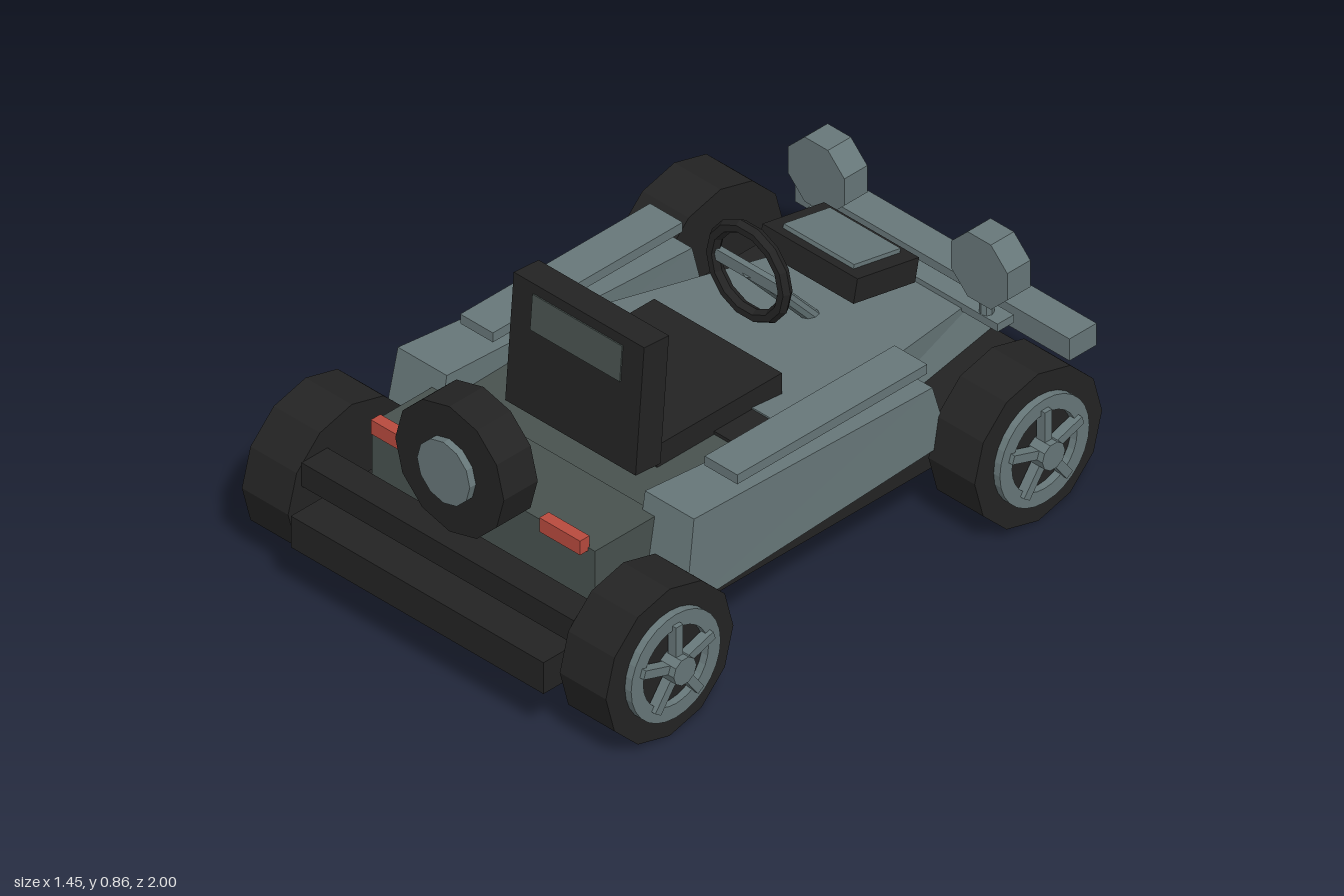
import * as THREE from 'three';

const mat = (name, color) => {
  const m = new THREE.MeshStandardMaterial({ color, flatShading: true });
  m.name = name;
  return m;
};

export function createModel() {
  const body = mat('blue grey paint', 0x677779);
  const deckGrey = mat('dark green grey', 0x48524f);
  const black = mat('black', 0x232323);
  const red = mat('lamp red', 0xb84a3e);
  const model = new THREE.Group();

  const add = (name, geo, material, x = 0, y = 0, z = 0, parent = model) => {
    const m = new THREE.Mesh(geo, material);
    m.name = name;
    m.position.set(x, y, z);
    parent.add(m);
    return m;
  };
  // Box given by its limits on each axis
  const box = (name, material, x0, x1, y0, y1, z0, z1, parent = model) =>
    add(name, new THREE.BoxGeometry(x1 - x0, y1 - y0, z1 - z0), material,
      (x0 + x1) / 2, (y0 + y1) / 2, (z0 + z1) / 2, parent);
  // Box whose corners are moved by a rule: (x sign, y sign, z sign) -> [x, y, z]
  const shaped = (name, material, rule) => {
    const geo = new THREE.BoxGeometry(2, 2, 2);
    const p = geo.attributes.position;
    for (let i = 0; i < p.count; i++) p.setXYZ(i, ...rule(p.getX(i), p.getY(i), p.getZ(i)));
    geo.computeVertexNormals();
    return add(name, geo, material);
  };
  const cylX = (r, len, sides) => new THREE.CylinderGeometry(r, r, len, sides).rotateZ(-Math.PI / 2);
  const cylZ = (r, len, sides, turn = 0) =>
    new THREE.CylinderGeometry(r, r, len, sides).rotateY(turn).rotateX(Math.PI / 2);

  // Chassis, rear deck and bumpers
  box('chassis', black, -0.465, 0.465, 0.16, 0.26, -0.89, 1);
  box('rearDeck', deckGrey, -0.41, 0.41, 0.26, 0.465, 0.52, 0.755);
  box('cockpitFloor', deckGrey, -0.385, 0.385, 0.26, 0.44, 0, 0.52);
  box('rearBumper', black, -0.5, 0.5, 0.3, 0.375, 0.83, 0.925);
  box('frontBumper', body, -0.505, 0.505, 0.285, 0.355, -1, -0.9);
  box('crossbar', black, -0.385, 0.385, 0.4, 0.45, 0, 0.14);

  // Tapered hood with a raked nose
  shaped('hood', body, (x, y, z) => z > 0
    ? [x * 0.385, y > 0 ? 0.455 : 0.25, 0]
    : [x * (y > 0 ? 0.21 : 0.245), y > 0 ? 0.365 : 0.19, y > 0 ? -0.865 : -0.905]);

  for (const s of [1, -1]) {
    const side = s > 0 ? 'left' : 'right';
    // Side pods with rails
    shaped(side + 'SidePod', body, (x, y, z) => {
      const outer = x * s > 0, top = y > 0;
      if (z > 0) return [s * (outer ? (top ? 0.545 : 0.56) : 0.365), top ? 0.52 : 0.26, top ? 0.525 : 0.57];
      return [s * (outer ? (top ? 0.5 : 0.51) : 0.385), top ? 0.45 : 0.26, top ? -0.4 : -0.45];
    });
    const rail = box(side + 'Rail', body, 0.39, 0.51, 0.515, 0.545, -0.37, 0.33);
    rail.position.x *= s;
    // Tail lamps
    const tail = box(side + 'TailLamp', red, 0.235, 0.385, 0.455, 0.5, 0.75, 0.785);
    tail.position.x *= s;
    // Headlamps
    add(side + 'Headlamp', cylZ(0.112, 0.085, 8, Math.PI / 8), body, s * 0.3, 0.535, -0.815);
    add(side + 'HeadlampLens', cylZ(0.08, 0.02, 8, Math.PI / 8), body, s * 0.3, 0.535, -0.865);
    add(side + 'HeadlampStem', new THREE.CylinderGeometry(0.02, 0.02, 0.06, 8), body, s * 0.3, 0.41, -0.8);
  }
  box('headlampBar', body, -0.36, 0.36, 0.365, 0.39, -0.84, -0.78);

  // Seat
  box('seatBase', black, -0.235, 0.235, 0.4, 0.51, -0.11, 0.35);
  const back = new THREE.Group();
  back.name = 'seatBack';
  back.position.set(0, 0.655, 0.373);
  back.rotation.x = -0.08;
  model.add(back);
  box('backrest', black, -0.24, 0.24, -0.2, 0.195, -0.046, 0.046, back);
  box('backrestInset', deckGrey, -0.165, 0.165, 0.055, 0.165, -0.05, 0.05, back);

  // Steering wheel and column
  const wheelY = 0.66, wheelZ = -0.225;
  add('steeringWheel', new THREE.TorusGeometry(0.132, 0.02, 6, 14), black, 0, wheelY, wheelZ);
  box('steeringCrossbar', body, -0.125, 0.125, wheelY - 0.018, wheelY + 0.018, wheelZ - 0.01, wheelZ + 0.01);
  const a = new THREE.Vector3(0, 0.66, -0.225), b = new THREE.Vector3(0, 0.39, -0.465);
  const column = add('steeringColumn', new THREE.CylinderGeometry(0.02, 0.02, a.distanceTo(b), 8), body);
  column.position.copy(a).lerp(b, 0.5);
  column.quaternion.setFromUnitVectors(new THREE.Vector3(0, 1, 0), a.clone().sub(b).normalize());

  // Tilted hood scoop
  const scoop = new THREE.Group();
  scoop.name = 'hoodScoop';
  scoop.position.set(0, 0.55, -0.555);
  scoop.rotation.x = -0.2;
  model.add(scoop);
  box('scoopBody', black, -0.175, 0.175, -0.037, 0.037, -0.116, 0.116, scoop);
  box('scoopPlate', body, -0.13, 0.13, 0.03, 0.05, -0.09, 0.085, scoop);

  // Spare wheel
  add('spareTyre', cylZ(0.2, 0.125, 12), black, 0, 0.585, 0.818);
  add('spareHub', cylZ(0.097, 0.03, 12), body, 0, 0.585, 0.888);

  // Road wheels: tyre, rim ring, five spokes and hub
  const ring = new THREE.Shape().absarc(0, 0, 0.165, 0, Math.PI * 2);
  ring.holes.push(new THREE.Path().absarc(0, 0, 0.12, 0, Math.PI * 2, true));
  const ringGeo = new THREE.ExtrudeGeometry(ring, { depth: 0.03, bevelEnabled: false, curveSegments: 14 })
    .rotateY(Math.PI / 2);
  for (const z of [0.74, -0.62]) {
    const end = z > 0 ? 'rear' : 'front';
    add(end + 'Axle', cylX(0.02, 1.1, 8), body, 0, 0.233, z);
    for (const s of [1, -1]) {
      const wheel = new THREE.Group();
      wheel.name = end + (s > 0 ? 'Left' : 'Right') + 'Wheel';
      wheel.position.set(s * 0.585, 0.233, z);
      wheel.rotation.y = s > 0 ? 0 : Math.PI;
      model.add(wheel);
      add('tyre', cylX(0.235, 0.17, 12), black, 0, 0, 0, wheel);
      add('rim', ringGeo, body, 0.078, 0, 0, wheel);
      add('hub', cylX(0.042, 0.06, 10), body, 0.112, 0, 0, wheel);
      for (let i = 0; i < 5; i++) {
        const spoke = add('spoke', new THREE.BoxGeometry(0.03, 0.11, 0.026).translate(0, 0.08, 0),
          body, 0.107, 0, 0, wheel);
        spoke.rotation.x = (i * Math.PI * 2) / 5;
      }
    }
  }
  return model;
}
